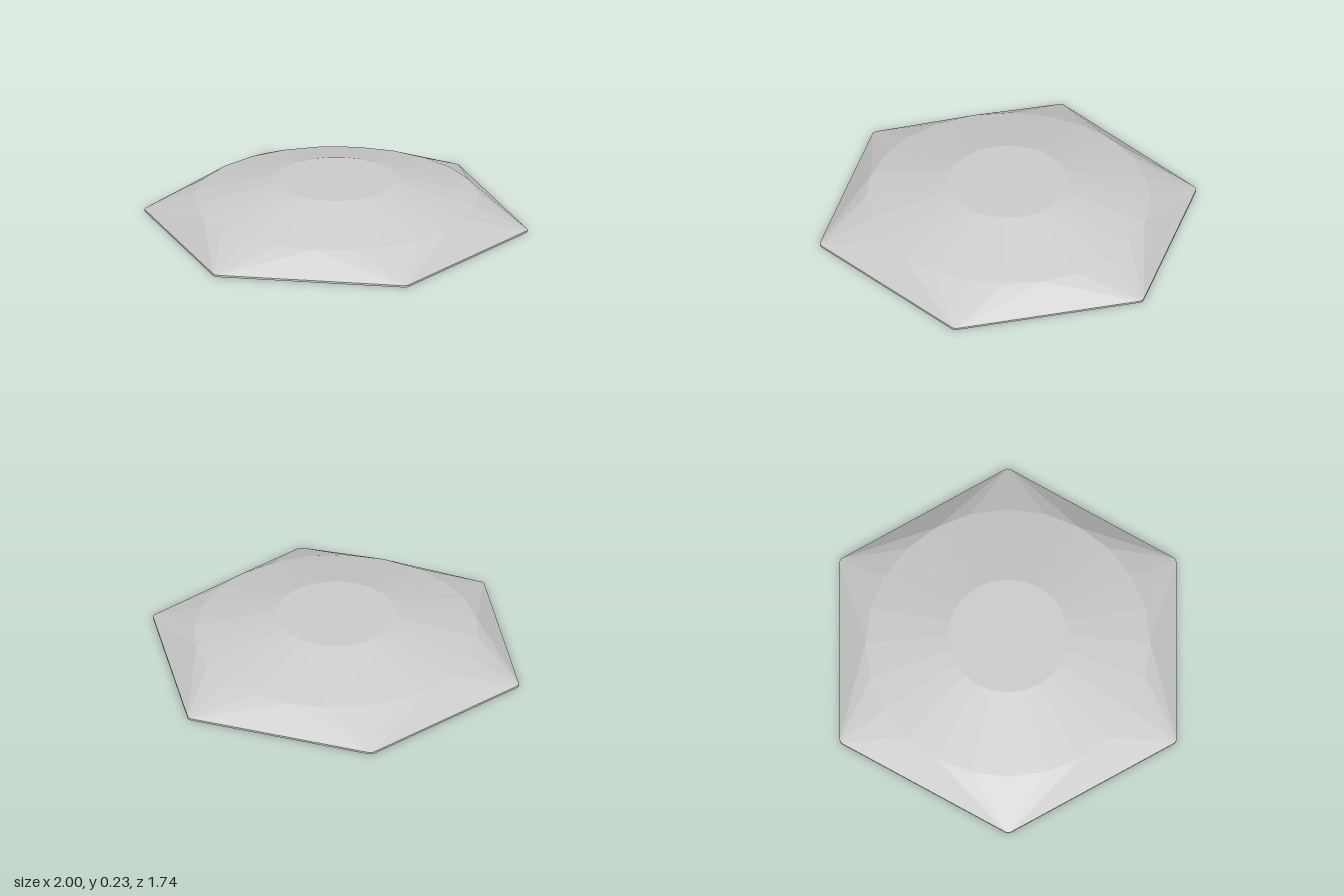
import * as THREE from 'three';
import { ConvexGeometry } from 'three/addons/geometries/ConvexGeometry.js';

const SIDES = 24;

// Points of a circle at a given height
function ring(radius, y) {
  return Array.from({ length: SIDES }, (_, i) => {
    const a = (i / SIDES) * Math.PI * 2;
    return new THREE.Vector3(Math.cos(a) * radius, y, Math.sin(a) * radius);
  });
}

// Hexagon outline with softly rounded corners, corners on the x axis
function hexagon(apothem, round, y) {
  const points = [];
  const centre = (apothem - round) / Math.cos(Math.PI / 6);
  for (let i = 0; i < 6; i++) {
    const a = (i * Math.PI) / 3;
    for (let j = -2; j <= 2; j++) {
      const b = a + (j * Math.PI) / 12;
      points.push(new THREE.Vector3(
        Math.cos(a) * centre + Math.cos(b) * round, y,
        Math.sin(a) * centre + Math.sin(b) * round));
    }
  }
  return points;
}

export function createModel() {
  const group = new THREE.Group();
  group.name = 'hexagonalDome';

  const grey = new THREE.MeshStandardMaterial({ color: 0xcccccc });
  grey.name = 'light grey';

  // Thin hexagonal rim, round shoulder and flat round top wrapped in one faceted skin
  const dome = new THREE.Mesh(new ConvexGeometry([
    ...hexagon(0.87, 0.03, 0),
    ...hexagon(0.87, 0.03, 0.01),
    ...ring(0.735, 0.126),
    ...ring(0.31, 0.234),
  ]), grey);
  dome.name = 'domeBody';
  group.add(dome);

  return group;
}
